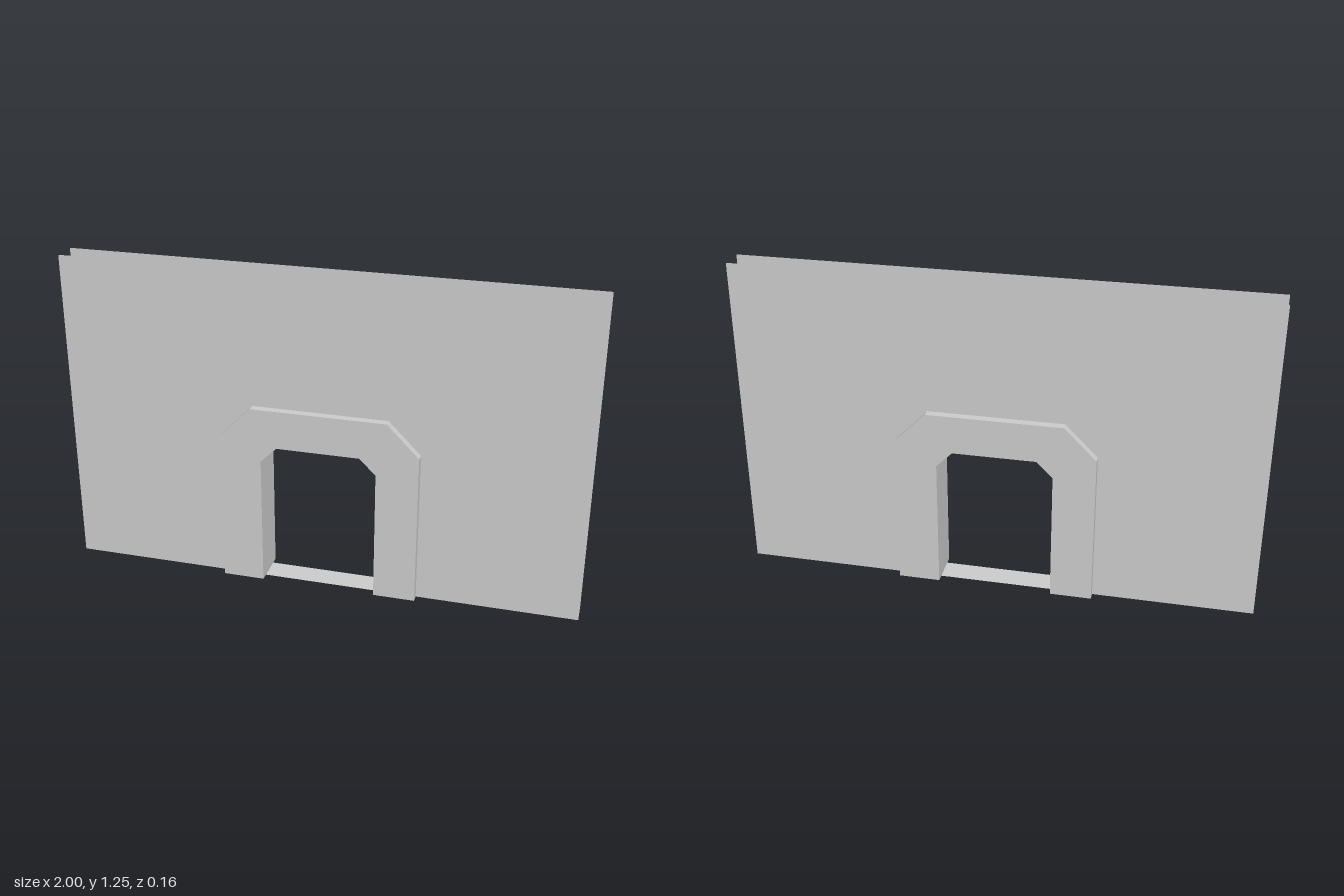
import * as THREE from 'three';

const material = new THREE.MeshStandardMaterial({
  color: 0xcccccc, flatShading: true, side: THREE.DoubleSide,
});
const WALL_Z = 0.048;
const FRAME_Z = 0.08;

// Symmetric arch with chamfered corners, listed from the left foot to the right foot
function archPoints(halfWidth, shoulder, halfTop, top) {
  return [
    [-halfWidth, 0], [-halfWidth, shoulder], [-halfTop, top],
    [halfTop, top], [halfWidth, shoulder], [halfWidth, 0],
  ].map(([x, y]) => new THREE.Vector2(x, y));
}

function addMesh(parent, name, geometry) {
  const mesh = new THREE.Mesh(geometry, material);
  mesh.name = name;
  parent.add(mesh);
  return mesh;
}

// Front and back copies of a flat outline
function addFaces(parent, name, points, z) {
  for (const side of [1, -1]) {
    const face = addMesh(parent, name + (side > 0 ? 'Front' : 'Back'),
      new THREE.ShapeGeometry(new THREE.Shape(points)));
    face.position.z = side * z;
    if (side < 0) face.rotation.y = Math.PI;
  }
}

// Open band joining the front and back along a path; the feet stay open
function bandGeometry(points, z, inward) {
  const positions = [];
  for (let i = 0; i < points.length - 1; i++) {
    const [a, b] = inward ? [points[i + 1], points[i]] : [points[i], points[i + 1]];
    positions.push(
      a.x, a.y, -z, a.x, a.y, z, b.x, b.y, z,
      a.x, a.y, -z, b.x, b.y, z, b.x, b.y, -z);
  }
  const geometry = new THREE.BufferGeometry();
  geometry.setAttribute('position', new THREE.Float32BufferAttribute(positions, 3));
  geometry.computeVertexNormals();
  return geometry;
}

export function createModel() {
  const model = new THREE.Group();
  model.name = 'wallWithDoorway';

  // Two thin wall skins, open at the top and ends
  const wall = new THREE.Group();
  wall.name = 'wall';
  const wallOutline = [
    new THREE.Vector2(-1, 0), ...archPoints(0.25, 0.53, 0.18, 0.6),
    new THREE.Vector2(1, 0), new THREE.Vector2(1, 1.25), new THREE.Vector2(-1, 1.25),
  ];
  addFaces(wall, 'wall', wallOutline, WALL_Z);

  // Floor strip closing the underside, running through the doorway
  const floor = addMesh(wall, 'floorStrip', new THREE.PlaneGeometry(2, WALL_Z * 2));
  floor.rotation.x = Math.PI / 2;

  // Raised door frame with chamfered corners
  const frame = new THREE.Group();
  frame.name = 'doorFrame';
  const outer = archPoints(0.383, 0.603, 0.26, 0.727);
  const inner = archPoints(0.222, 0.515, 0.16, 0.577);
  addFaces(frame, 'frame', [...outer, ...[...inner].reverse()], FRAME_Z);
  addMesh(frame, 'frameRim', bandGeometry(outer, FRAME_Z, false));
  addMesh(frame, 'doorReveal', bandGeometry(inner, FRAME_Z, true));

  model.add(wall, frame);
  return model;
}
